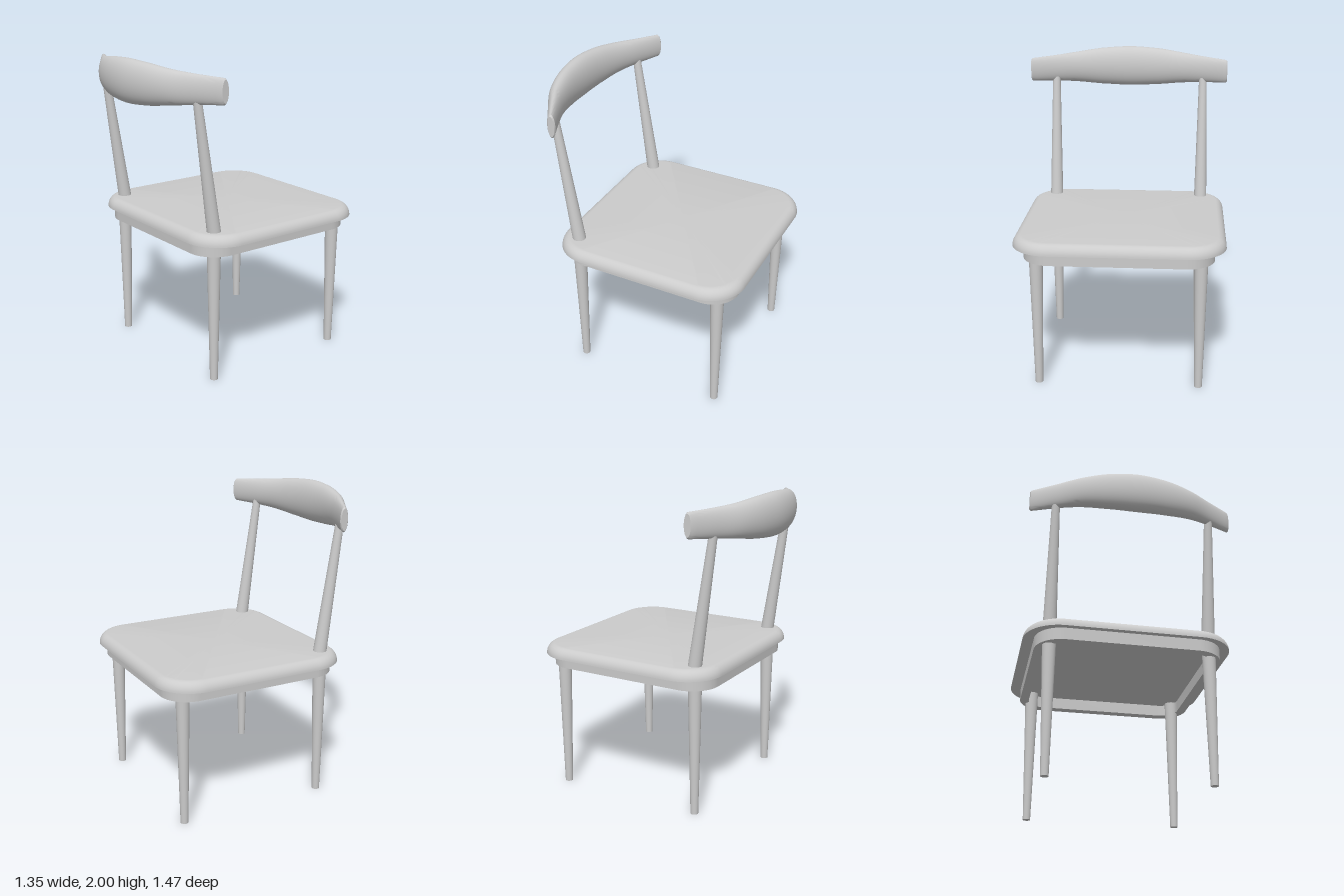
import * as THREE from 'three';
import { toCreasedNormals } from 'three/addons/utils/BufferGeometryUtils.js';

const material = new THREE.MeshStandardMaterial({ color: 0xcccccc });

// Skin a list of equal-length rings and close both ends.
function loft(rings, crease) {
  const n = rings[0].length;
  const pos = rings.flat().flatMap((p) => [p.x, p.y, p.z]);
  const index = [];
  for (let i = 0; i < rings.length - 1; i++) {
    for (let j = 0; j < n; j++) {
      const k = (j + 1) % n;
      const a = i * n + j, b = i * n + k, c = a + n, d = b + n;
      index.push(a, b, d, a, d, c);
    }
  }
  [0, rings.length - 1].forEach((r, end) => {
    const mid = new THREE.Vector3();
    rings[r].forEach((p) => mid.addScaledVector(p, 1 / n));
    const m = pos.length / 3;
    pos.push(mid.x, mid.y, mid.z);
    for (let j = 0; j < n; j++) {
      const a = r * n + j, b = r * n + ((j + 1) % n);
      if (end) index.push(m, a, b);
      else index.push(m, b, a);
    }
  });
  const g = new THREE.BufferGeometry();
  g.setAttribute('position', new THREE.Float32BufferAttribute(pos, 3));
  g.setIndex(index);
  return toCreasedNormals(g, crease);
}

function roundedRect(hx, hy, r) {
  const s = new THREE.Shape();
  s.absarc(hx - r, hy - r, r, 0, Math.PI / 2);
  s.absarc(r - hx, hy - r, r, Math.PI / 2, Math.PI);
  s.absarc(r - hx, r - hy, r, Math.PI, Math.PI * 1.5);
  s.absarc(hx - r, r - hy, r, Math.PI * 1.5, Math.PI * 2);
  return s;
}

// Tapered round stick between two points.
function stick(name, from, to, rFrom, rTo) {
  const dir = to.clone().sub(from);
  const g = new THREE.CylinderGeometry(rTo, rFrom, dir.length(), 32);
  const mesh = new THREE.Mesh(g, material);
  mesh.name = name;
  mesh.position.copy(from).add(to).multiplyScalar(0.5);
  mesh.quaternion.setFromUnitVectors(new THREE.Vector3(0, 1, 0), dir.normalize());
  return mesh;
}

// Seat pad: flat underneath, quarter-round upper edge.
function seat() {
  const rings = [];
  const steps = 10;
  for (let i = 0; i <= steps; i++) {
    const a = (i / steps) * Math.PI / 2;
    const inset = 0.06 * (1 - Math.cos(a));
    const y = 0.918 + 0.067 * Math.sin(a);
    const pts = roundedRect(0.67 - inset, 0.64 - inset, 0.24 - inset).getPoints(14);
    if (pts[0].distanceTo(pts[pts.length - 1]) < 1e-5) pts.pop();
    rings.push(pts.map((p) => new THREE.Vector3(p.x, y, -0.095 - p.y)));
  }
  const mesh = new THREE.Mesh(loft(rings, 0.7), material);
  mesh.name = 'seat';
  return mesh;
}

// Hollow frame under the seat.
function apron() {
  const shape = roundedRect(0.6, 0.6, 0.18);
  shape.holes.push(roundedRect(0.54, 0.54, 0.12));
  const g = new THREE.ExtrudeGeometry(shape, { depth: 0.08, bevelEnabled: false, curveSegments: 14 });
  g.rotateX(-Math.PI / 2).translate(0, 0.84, -0.09);
  const mesh = new THREE.Mesh(toCreasedNormals(g, 0.6), material);
  mesh.name = 'apron';
  return mesh;
}

// Curved back rail: elliptical sections that swell towards the middle.
function backRail() {
  // half profile: x, centre z, half depth, half height
  const half = [
    [0, 0.659, 0.074, 0.1375],
    [0.2, 0.641, 0.069, 0.127],
    [0.365, 0.596, 0.06, 0.106],
    [0.51, 0.526, 0.043, 0.09],
    [0.668, 0.442, 0.029, 0.078],
  ];
  const stations = [
    ...half.slice(1).reverse().map(([x, ...rest]) => [-x, ...rest]),
    ...half,
  ];
  const centre = new THREE.CatmullRomCurve3(stations.map((s) => new THREE.Vector3(s[0], 0, s[1])));
  const size = new THREE.CatmullRomCurve3(stations.map((s) => new THREE.Vector3(0, s[3], s[2])));
  const ring = (x, z, hz, hy) => Array.from({ length: 40 }, (_, j) => {
    const a = (j / 40) * Math.PI * 2;
    return new THREE.Vector3(x, 1.8625 + hy * Math.cos(a), z + hz * Math.sin(a));
  });
  const rings = [];
  for (let i = 0; i <= 48; i++) {
    const c = centre.getPoint(i / 48), s = size.getPoint(i / 48);
    rings.push(ring(c.x, c.z, s.z, s.y));
  }
  // slightly rounded ends
  rings.unshift(ring(-0.677, 0.44, 0.023, 0.068));
  rings.push(ring(0.677, 0.44, 0.023, 0.068));
  const mesh = new THREE.Mesh(loft(rings, 0.6), material);
  mesh.name = 'backRail';
  return mesh;
}

export function createModel() {
  const model = new THREE.Group();
  model.name = 'chair';
  model.add(seat(), apron(), backRail());
  const v = (x, y, z) => new THREE.Vector3(x, y, z);
  for (const side of [1, -1]) {
    const label = side > 0 ? 'left' : 'right';
    const x = 0.513 * side;
    // legs
    for (const [end, z] of [['RailSide', 0.402], ['OpenSide', -0.587]]) {
      model.add(stick(`${label}${end}Leg`, v(x, 0, z), v(x, 0.925, z), 0.025, 0.045));
    }
    // posts carrying the back rail
    model.add(stick(`${label}BackPost`, v(x, 0.95, 0.397), v(x, 1.83, 0.524), 0.044, 0.026));
  }
  return model;
}
